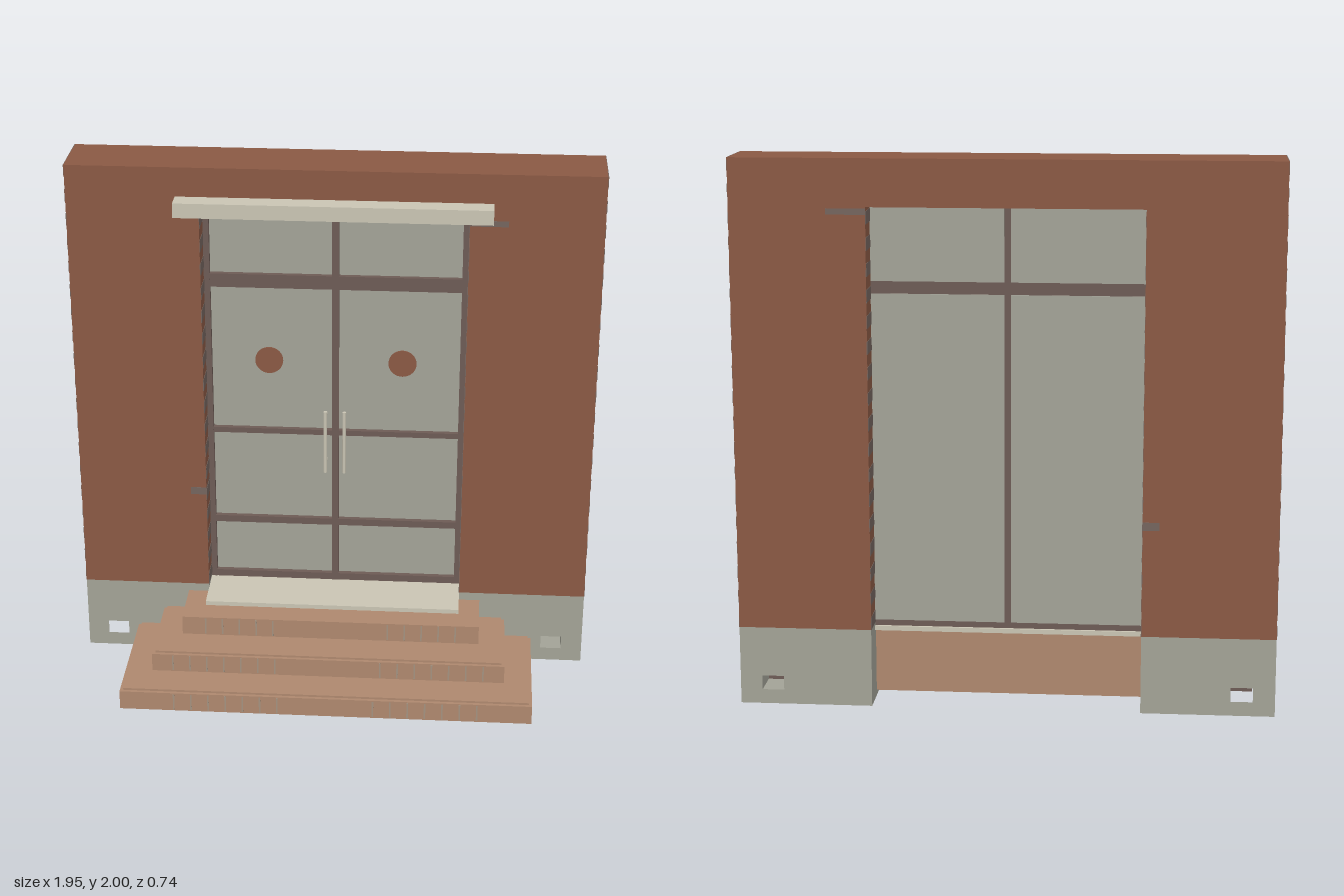
import * as THREE from 'three';

const mat = (name, color, extra = {}) => {
  const m = new THREE.MeshStandardMaterial({ color });
  m.name = name;
  return Object.assign(m, extra);
};

export function createModel() {
  const root = new THREE.Group();
  root.name = 'entrance';
  const brick = mat('brick', 0x8a5944);
  const step = mat('stepBrick', 0xae886e);
  const stone = mat('plinthStone', 0xa2a296);
  const glass = mat('paneGrey', 0xa2a297);
  const pale = mat('paleStone', 0xc9c4b3);
  const frame = mat('frameBrown', 0x6d5b55);
  const mortar = mat('mortar', 0x74655e);
  const joint = mat('joint', 0xa3917f);

  const add = (name, geo, m, x = 0, y = 0, z = 0) => {
    const mesh = new THREE.Mesh(geo, m);
    mesh.name = name;
    mesh.position.set(x, y, z);
    root.add(mesh);
    return mesh;
  };
  // box given by its min and max on each axis
  const box = (name, m, x0, x1, y0, y1, z0, z1) =>
    add(name, new THREE.BoxGeometry(x1 - x0, y1 - y0, z1 - z0), m,
      (x0 + x1) / 2, (y0 + y1) / 2, (z0 + z1) / 2);

  const W = 0.975, O = 0.49, BACK = -0.37, FRONT = -0.13, BASE = 0.29, TOP = 1.83;
  const depth = FRONT - BACK;

  // Brick wall around the doorway
  const wall = new THREE.Shape([[-W, BASE], [-O, BASE], [-O, TOP], [O, TOP], [O, BASE],
    [W, BASE], [W, 2], [-W, 2]].map(p => new THREE.Vector2(...p)));
  add('wall', new THREE.ExtrudeGeometry(wall, { depth, bevelEnabled: false }), brick, 0, 0, BACK);

  // Mortar courses on the wall ends and in the reveals
  const pitch = (2 - BASE) / 18.5;
  for (let i = 0; i < 19; i++) {
    const y0 = BASE + i * pitch, y1 = y0 + pitch / 2;
    for (const s of [-1, 1]) {
      for (const x of i < 17 ? [W, O] : [W]) {
        if (x === O && y1 > TOP) continue;
        box('mortarCourse', mortar, s * x - 0.0015, s * x + 0.0015, y0, y1, BACK, FRONT);
      }
    }
  }
  box('mortarPatch', mortar, O, 0.63, 1.803, 1.825, BACK - 0.001, FRONT + 0.001);
  box('mortarPatch', mortar, -0.55, -O, 0.685, 0.715, BACK - 0.001, FRONT + 0.001);

  // Plinths with vent openings
  for (const s of [-1, 1]) {
    const shape = new THREE.Shape([[O, 0], [W, 0], [W, BASE], [O, BASE]]
      .map(([x, y]) => new THREE.Vector2(s * x, y)));
    shape.holes.push(new THREE.Path([[0.815, 0.053], [0.895, 0.053], [0.895, 0.106], [0.815, 0.106]]
      .map(([x, y]) => new THREE.Vector2(s * x, y))));
    add('plinth', new THREE.ExtrudeGeometry(shape, { depth, bevelEnabled: false }), stone, 0, 0, BACK);
    box('vent', frame, s * 0.855 - 0.04, s * 0.855 + 0.04, 0.053, 0.106, -0.253, -0.247);
  }

  // Steps, each one a slab on a thin recessed bed
  const steps = [[0.775, 0.365, 0.02, 0.095], [0.67, 0.22, 0.103, 0.175], [0.57, 0.075, 0.183, 0.258]];
  steps.forEach(([x, z, y0, y1], i) => {
    box('step', step, -x, x, y0, y1, FRONT, z);
    box('stepCore', step, -O, O, y0, y1, -0.25, FRONT);
    if (i < 2) {
      box('stepBed', step, -x + 0.012, x - 0.012, y1, y1 + 0.008, FRONT, z - 0.012);
      box('stepBedCore', step, -O, O, y1, y1 + 0.008, -0.25, FRONT);
    }
    // upright joints on the riser
    for (let k = 0; k < 7; k++) for (const s of [-1, 1]) {
      const jx = s * (0.18 + k * 0.065 + i * 0.02);
      if (Math.abs(jx) < x - 0.05)
        box('riserJoint', joint, jx - 0.003, jx + 0.003, y0 + 0.004, y1 - 0.004, z - 0.001, z + 0.001);
    }
  });
  box('threshold', pale, -O, O, 0.258, 0.275, -0.27, -0.02);
  box('canopy', pale, -0.575, 0.575, 1.835, 1.89, FRONT, -0.055);

  // Door frame: posts, rails and centre bar
  const F0 = -0.245, F1 = -0.225, G0 = -0.265;
  for (const s of [-1, 1])
    box('framePost', frame, s * 0.479 - 0.011, s * 0.479 + 0.011, 0.275, TOP, F0, F1);
  box('centreBar', frame, -0.013, 0.013, 0.275, TOP, -0.26, F1);
  for (const [y0, y1, z0] of [[0.275, 0.303, -0.26], [0.519, 0.546, F0], [0.907, 0.928, F0],
    [1.506, 1.559, -0.26], [1.808, TOP, F0]])
    box('frameRail', frame, -O, O, y0, y1, z0, F1 - 0.001);

  for (const s of [-1, 1]) {
    // Door leaf and top light
    const xa = Math.min(s * 0.012, s * O), xb = Math.max(s * 0.012, s * O);
    box('doorPane', glass, xa, xb, 0.298, 1.51, G0, F0);
    box('topPane', glass, xa, xb, 1.555, TOP, G0, F0);

    // Round marker on the pane
    const disc = add('roundMarker', new THREE.CylinderGeometry(0.053, 0.053, 0.004, 32), brick,
      s * 0.252, 1.207, F0 + 0.002);
    disc.rotation.x = Math.PI / 2;

    // Pull handle with two stand-offs
    const hx = s * 0.036;
    add('handleBar', new THREE.CylinderGeometry(0.007, 0.007, 0.255, 12), pale, hx, 0.897, -0.185);
    for (const y of [0.8, 0.995]) {
      const post = add('handlePost', new THREE.CylinderGeometry(0.005, 0.005, 0.06, 10), pale, hx, y, -0.215);
      post.rotation.x = Math.PI / 2;
    }
  }
  return root;
}
